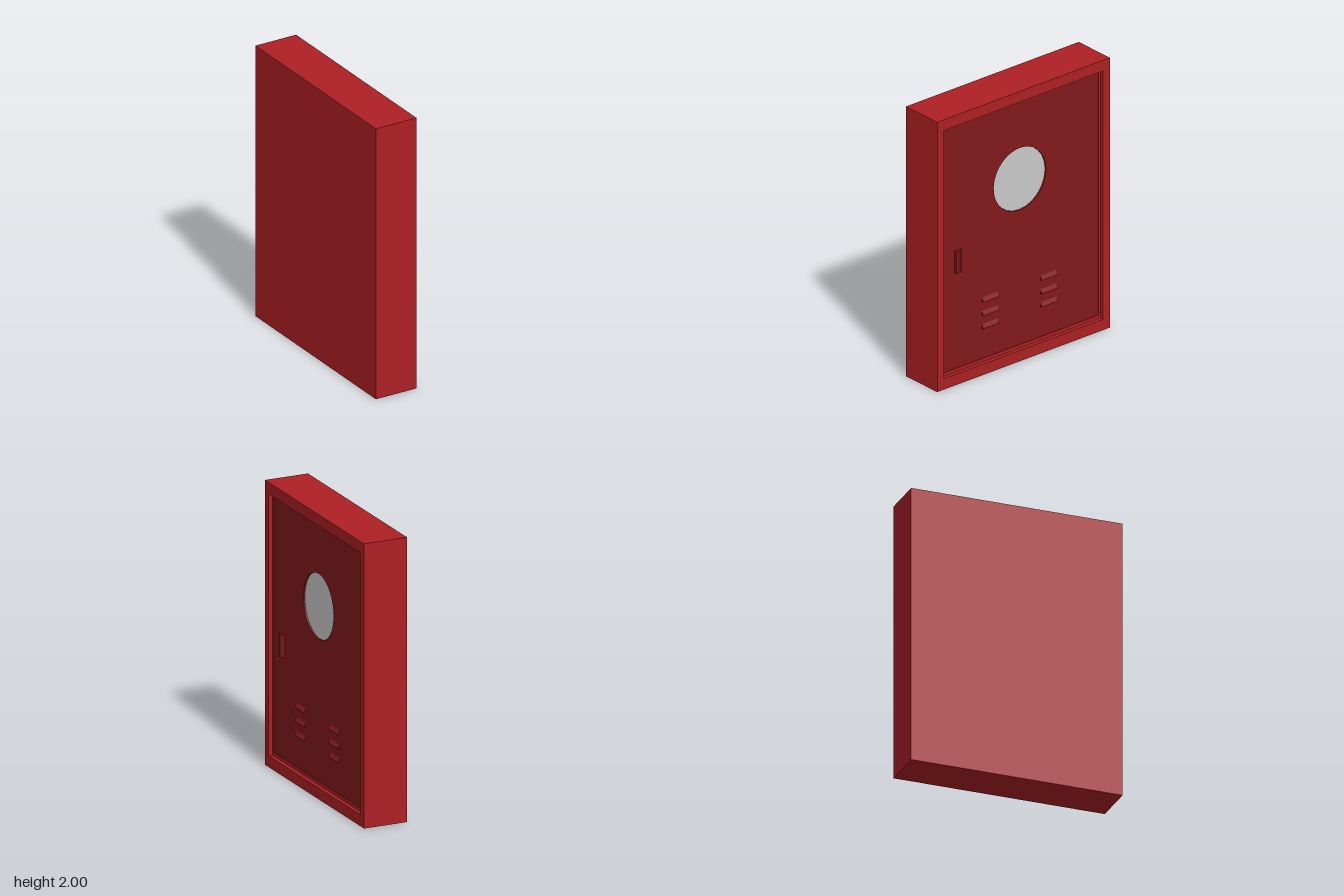
import * as THREE from 'three';

const red = new THREE.MeshStandardMaterial({ color: 0xae2024 });
const darkRed = new THREE.MeshStandardMaterial({ color: 0x831a1c });
const grey = new THREE.MeshStandardMaterial({ color: 0xcccccc });

// Rectangle outline in door-plane coordinates (u = -z, v = y)
function rect(u0, v0, u1, v1, Type = THREE.Shape) {
  return new Type([[u0, v0], [u1, v0], [u1, v1], [u0, v1]].map(([u, v]) => new THREE.Vector2(u, v)));
}

// Outline extruded along +x, from x0 to x1
function panel(shape, x0, x1) {
  return new THREE.ExtrudeGeometry(shape, { depth: x1 - x0, bevelEnabled: false, curveSegments: 24 })
    .rotateY(Math.PI / 2).translate(x0, 0, 0);
}

// Straight prism from a list of profile points
function prism(points, length) {
  const shape = new THREE.Shape(points.map(([a, b]) => new THREE.Vector2(a, b)));
  return new THREE.ExtrudeGeometry(shape, { depth: length, bevelEnabled: false });
}

export function createModel() {
  const model = new THREE.Group();
  const add = (name, geometry, material) => {
    const mesh = new THREE.Mesh(geometry, material);
    mesh.name = name;
    model.add(mesh);
    return mesh;
  };
  const doorX = 0.127;

  // Cabinet body, with the frame around the recessed door
  add('cabinetBody', new THREE.BoxGeometry(0.26, 2, 1.52).translate(-0.03, 1, 0), red);
  const frame = rect(-0.76, 0, 0.76, 2);
  frame.holes.push(rect(-0.7, 0.08, 0.7, 1.92, THREE.Path));
  add('frame', panel(frame, 0.1, 0.16), red);

  // Narrow ledge between frame and door
  const ledge = rect(-0.7, 0.08, 0.7, 1.92);
  ledge.holes.push(rect(-0.69, 0.105, 0.685, 1.91, THREE.Path));
  add('doorLedge', panel(ledge, 0.1, 0.131), red);

  // Door with a round window opening
  const door = rect(-0.69, 0.105, 0.685, 1.91);
  const opening = new THREE.Path();
  opening.absarc(-0.005, 1.33, 0.23, 0, Math.PI * 2, true);
  door.holes.push(opening);
  add('door', panel(door, 0.1, doorX), darkRed);

  // Window pane, set slightly back
  add('windowPane', new THREE.CircleGeometry(0.23, 24).rotateY(Math.PI / 2).translate(0.117, 1.33, 0.005), grey);

  // Upright pull handle with one sloping side, profile in (z, x)
  const toUpright = new THREE.Matrix4().makeBasis(
    new THREE.Vector3(0, 0, 1), new THREE.Vector3(1, 0, 0), new THREE.Vector3(0, 1, 0));
  const handle = prism([[0.52, 0], [0.58, 0], [0.58, 0.022], [0.55, 0.022]], 0.16).applyMatrix4(toUpright);
  add('handle', handle.translate(doorX, 0.815, 0), darkRed);

  // Two columns of three sloping vent louvres
  const louvre = prism([[0, -0.016], [0.015, -0.016], [0.015, -0.009], [0, 0.016]], 0.142);
  for (const z of [0.197, -0.317]) {
    for (const y of [0.54, 0.44, 0.343]) {
      add('ventLouvre', louvre, darkRed).position.set(doorX, y, z);
    }
  }
  return model;
}
